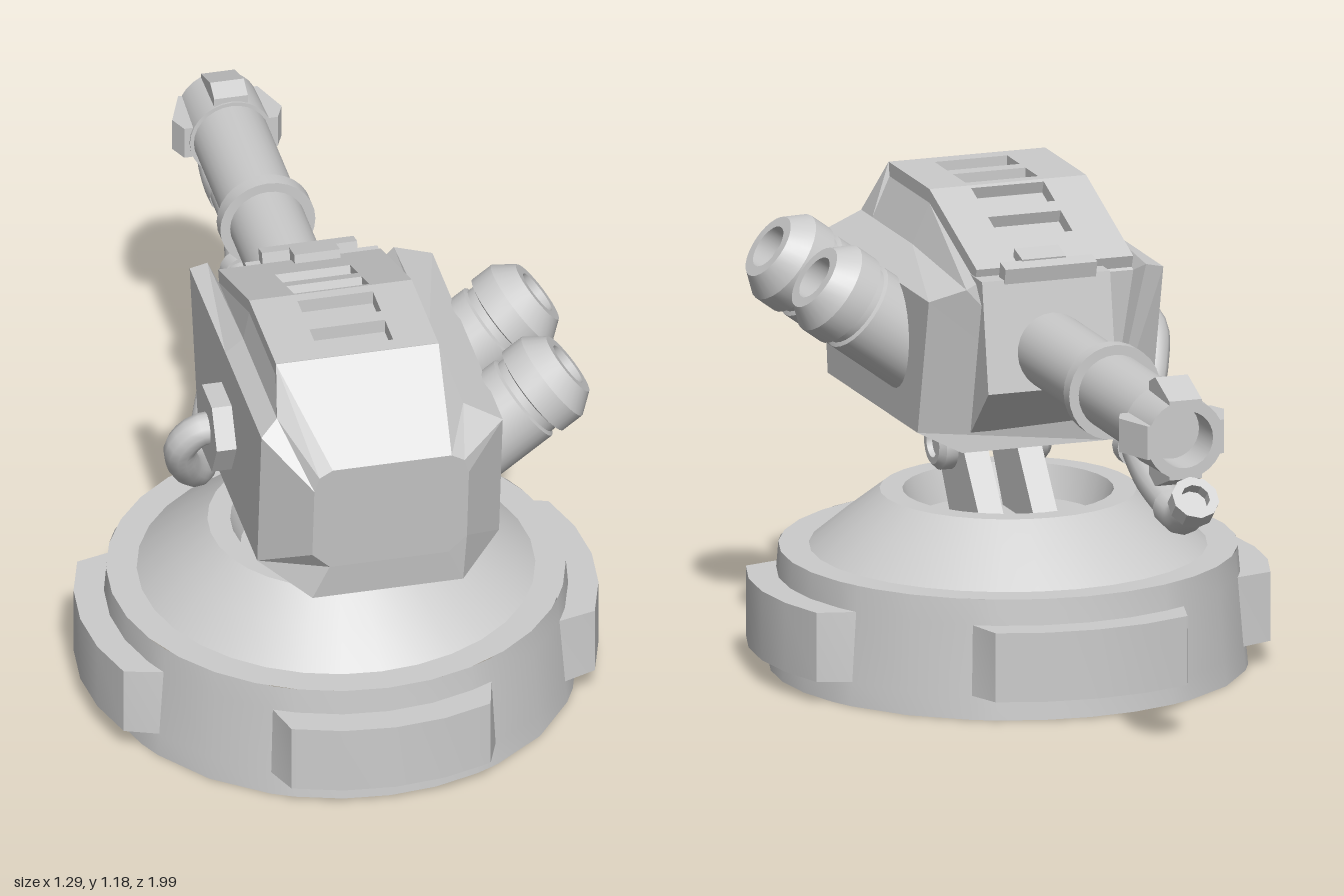
import * as THREE from 'three';
import { toCreasedNormals } from 'three/addons/utils/BufferGeometryUtils.js';

const grey = new THREE.MeshStandardMaterial({ color: 0xcccccc, side: THREE.DoubleSide });

function add(parent, name, geo, x = 0, y = 0, z = 0) {
  const mesh = new THREE.Mesh(geo, grey);
  mesh.name = name;
  mesh.position.set(x, y, z);
  parent.add(mesh);
  return mesh;
}

// Turned part around y, profile of [radius, height]
function turned(profile, segments = 28) {
  const points = profile.map(([r, y]) => new THREE.Vector2(r, y));
  return toCreasedNormals(new THREE.LatheGeometry(points, segments), 0.45);
}

// Plate cut from an outline, centred on its thickness
function slab(outline, depth) {
  const shape = new THREE.Shape(outline.map(p => new THREE.Vector2(...p)));
  return new THREE.ExtrudeGeometry(shape, { depth, bevelEnabled: false }).translate(0, 0, -depth / 2);
}

// Faceted solid through rings of points, front ring first
function loft(rings) {
  const pos = [], n = rings[0].length;
  const tri = (...p) => p.forEach(q => pos.push(...q));
  for (let i = 0; i < rings.length - 1; i++) for (let j = 0; j < n; j++) {
    const k = (j + 1) % n, A = rings[i], B = rings[i + 1];
    tri(A[j], B[j], A[k]);
    tri(A[k], B[j], B[k]);
  }
  const F = rings[0], R = rings[rings.length - 1];
  for (let j = 1; j < n - 1; j++) {
    tri(F[0], F[j], F[j + 1]);
    tri(R[0], R[j + 1], R[j]);
  }
  const geo = new THREE.BufferGeometry();
  geo.setAttribute('position', new THREE.Float32BufferAttribute(pos, 3));
  geo.computeVertexNormals();
  return geo;
}

// Round foot wall with four hollow lugs pushed out of it
function footWall() {
  const heights = [0, 0.06, 0.06, 0.235, 0.235, 0.3];
  const angles = [-0.505, -0.4, -0.2, 0, 0.2, 0.4, 0.505, Math.PI / 4];
  const geo = new THREE.LatheGeometry(heights.map(y => new THREE.Vector2(0.59, y)), 32);
  const p = geo.attributes.position;
  for (let v = 0; v < p.count; v++) {
    const seg = Math.floor(v / 6) % 32, j = v % 6;
    const a = angles[seg % 8], phi = a + Math.floor(seg / 8) * Math.PI / 2;
    const lug = (j === 2 || j === 3) && Math.abs(a) < 0.45;
    const r = lug ? 0.645 : 0.59 - 0.025 * heights[j] / 0.3;
    p.setXYZ(v, r * Math.sin(phi), heights[j], r * Math.cos(phi));
  }
  return toCreasedNormals(geo, 0.45);
}

function buildBase() {
  const base = new THREE.Group();
  base.name = 'base';
  base.position.z = 0.355;
  add(base, 'footWall', footWall());
  add(base, 'turntable', turned([[0.565, 0.3], [0.49, 0.3], [0.4, 0.375], [0.316, 0.44],
    [0.26, 0.44], [0.235, 0.36], [0, 0.36]], 32));
  return base;
}

function buildMount() {
  const mount = new THREE.Group();
  mount.name = 'mount';
  // Leaning brackets: outline in (-z, y), turned to face sideways
  const arm = slab([[-0.49, 0.35], [-0.25, 0.35], [-0.4, 0.54], [-0.43, 0.61], [-0.56, 0.61], [-0.6, 0.53]], 0.064)
    .rotateY(Math.PI / 2);
  for (const s of [-1, 1]) {
    add(mount, 'bracket', arm, s * 0.07, 0, 0);
    const hub = add(mount, 'pivotHub', turned([[0.07, 0], [0.07, 0.035], [0.055, 0.05], [0.038, 0.05],
      [0.038, 0.035], [0, 0.035]], 20), s * 0.098, 0.535, 0.497);
    hub.rotation.z = -s * Math.PI / 2;
  }
  return mount;
}

// Roof plate with two vent openings; runs from its origin towards -z
function ventPlate(length, vents) {
  const shape = new THREE.Shape([[-0.245, 0], [0.165, 0], [0.165, length], [-0.245, length]]
    .map(p => new THREE.Vector2(...p)));
  for (const [a, b] of vents) {
    shape.holes.push(new THREE.Path([[-0.13, a], [-0.13, b], [0.06, b], [0.06, a]]
      .map(p => new THREE.Vector2(...p))));
  }
  return new THREE.ExtrudeGeometry(shape, { depth: 0.035, bevelEnabled: false })
    .rotateX(-Math.PI / 2).translate(0, -0.035, 0);
}

function buildHousing() {
  const housing = new THREE.Group();
  housing.name = 'housing';
  const front = [[-0.15, 0.685], [0.15, 0.685], [0.195, 0.73], [0.195, 0.93], [0.183, 0.97], [0.15, 0.99],
    [-0.15, 0.99], [-0.183, 0.97], [-0.195, 0.93], [-0.195, 0.73]]
    .map(([x, y]) => [x, y, 0.93 + (y - 0.69) * 0.11]);
  // Full cross-section: z per point, height of the roof edge
  const section = (z, top, shoulder = 0) => [[-0.19, 0.59], [0.19, 0.59], [0.305, 0.65], [0.305, 1.0],
    [0.21, 1.05 - shoulder], [0.165, top], [-0.245, top], [-0.26, 1.075 - shoulder], [-0.305, 1.04], [-0.305, 0.65]]
    .map(([x, y], i) => [x, y, z[i]]);
  add(housing, 'shell', loft([
    front,
    section([0.915, 0.915, 0.81, 0.85, 0.83, 0.757, 0.757, 0.83, 0.855, 0.81], 1.185),
    section([0.75, 0.75, 0.75, 0.75, 0.75, 0.75, 0.75, 0.75, 0.75, 0.75], 1.15),
    section(Array(10).fill(0.466), 1.15),
    section([0.165, 0.165, 0.17, 0.09, 0.08, 0.13, 0.13, 0.08, 0.08, 0.17], 1.025, 0.025),
  ]));
  // Vented roof: one level plate, one sloping to the back
  add(housing, 'roofPlate', ventPlate(0.289, [[0.04, 0.13], [0.17, 0.26]]), 0, 1.185, 0.755);
  const slope = add(housing, 'rearRoofPlate', ventPlate(0.358, [[0.012, 0.097], [0.14, 0.23]]), 0, 1.185, 0.466);
  slope.rotation.x = -0.356;
  // Latch over the back edge
  add(housing, 'latch', new THREE.BoxGeometry(0.115, 0.04, 0.06), -0.003, 1.07, 0.14).rotation.x = -0.25;
  add(housing, 'latchPlate', new THREE.BoxGeometry(0.24, 0.06, 0.04), -0.01, 1.045, 0.1).rotation.x = -0.25;
  // Block that carries the barrel: outline in (-z, y)
  add(housing, 'barrelBlock', slab([[-0.3, 0.64], [-0.165, 0.64], [-0.04, 0.765], [-0.085, 1.04], [-0.3, 1.04]], 0.335)
    .rotateY(Math.PI / 2));
  return housing;
}

function buildBarrel() {
  const barrel = new THREE.Group();
  barrel.name = 'barrel';
  barrel.position.set(-0.01, 0.856, 0);
  barrel.rotation.x = -Math.PI / 2;
  add(barrel, 'barrelTube', turned([[0.095, -0.15], [0.095, 0.73], [0.105, 0.73], [0.1, 0.88],
    [0.072, 0.88], [0.072, 0.78], [0, 0.78]]));
  add(barrel, 'barrelRing', turned([[0.09, 0.338], [0.12, 0.338], [0.12, 0.378], [0.09, 0.378]]));
  const fin = slab([[0.08, 0.735], [0.118, 0.735], [0.138, 0.78], [0.1, 0.88], [0.08, 0.88]], 0.085);
  for (let k = 0; k < 4; k++) add(barrel, 'muzzleFin', fin).rotation.y = k * Math.PI / 2;
  return barrel;
}

function buildLaunchers() {
  const launchers = new THREE.Group();
  launchers.name = 'sideLaunchers';
  const geo = turned([[0.116, -0.42], [0.116, -0.14], [0.106, -0.135], [0.106, -0.115], [0.122, -0.11],
    [0.122, -0.05], [0.085, 0], [0.057, 0], [0.057, -0.05], [0, -0.05]]);
  for (const z of [0.676, 0.347]) {
    add(launchers, 'launcherTube', geo, 0.51, 1.02, z).rotation.z = -0.934;
  }
  return launchers;
}

function buildHose() {
  const hose = new THREE.Group();
  hose.name = 'hoseAssembly';
  // Six-sided socket on the right flank
  const socket = add(hose, 'hoseSocket', toCreasedNormals(new THREE.CylinderGeometry(0.108, 0.108, 0.07, 6), 0.3),
    -0.32, 0.835, 0.48);
  socket.rotation.z = Math.PI / 2;
  const path = new THREE.CatmullRomCurve3([[-0.3, 0.835, 0.48], [-0.375, 0.832, 0.48], [-0.415, 0.785, 0.465],
    [-0.4, 0.7, 0.42], [-0.35, 0.62, 0.34], [-0.31, 0.585, 0.24], [-0.27, 0.605, 0.12], [-0.19, 0.68, -0.07],
    [-0.1, 0.71, -0.27], [-0.065, 0.712, -0.39], [-0.025, 0.685, -0.6], [-0.01, 0.658, -0.8]]
    .map(p => new THREE.Vector3(...p)));
  add(hose, 'hose', new THREE.TubeGeometry(path, 70, 0.041, 12));
  // Clamp hanging below the barrel ring
  add(hose, 'hoseClamp', turned([[0.035, -0.02], [0.053, -0.02], [0.053, 0.02], [0.035, 0.02]], 16),
    -0.07, 0.713, -0.358).rotation.x = -Math.PI / 2;
  // Elbow and upturned nozzle
  const bend = new THREE.CatmullRomCurve3([[-0.01, 0.66, -0.77], [-0.01, 0.655, -0.85], [-0.01, 0.672, -0.89],
    [-0.01, 0.71, -0.93]].map(p => new THREE.Vector3(...p)));
  add(hose, 'elbow', new THREE.TubeGeometry(bend, 10, 0.046, 12));
  add(hose, 'nozzle', turned([[0.04, -0.045], [0.06, -0.045], [0.06, 0], [0.036, 0], [0.036, -0.03], [0, -0.03]], 10),
    -0.01, 0.727, -0.952).rotation.x = -0.78;
  return hose;
}

export function createModel() {
  const model = new THREE.Group();
  model.name = 'turret';
  model.add(buildBase(), buildMount(), buildHousing(), buildBarrel(), buildLaunchers(), buildHose());
  return model;
}
